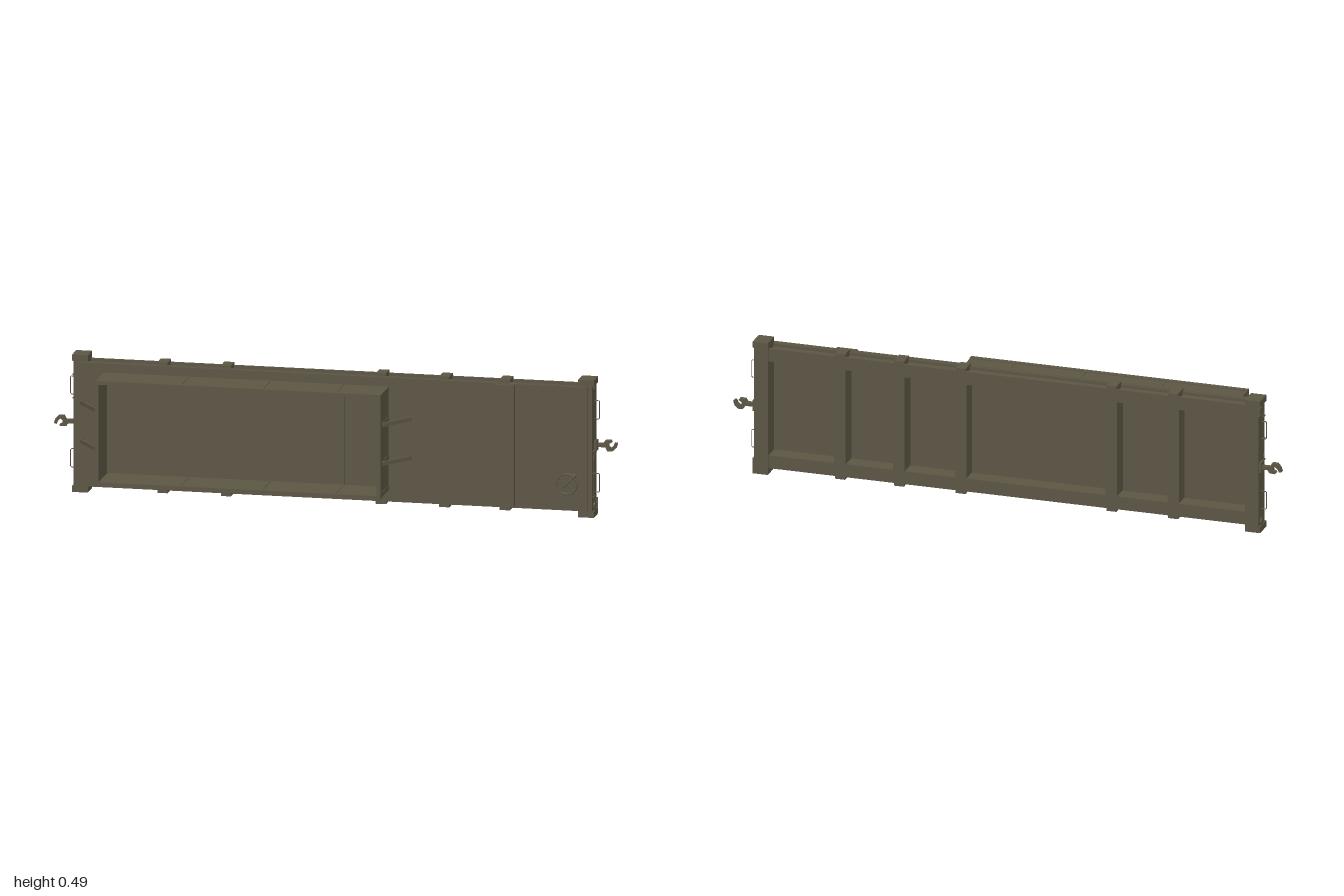
import * as THREE from 'three';

export function createModel() {
  const root = new THREE.Group();
  root.name = 'flatWagonBody';
  const paint = new THREE.MeshStandardMaterial({ color: 0x5c5644 });
  paint.name = 'olive drab';

  const add = (name, geo, parent = root) => {
    const m = new THREE.Mesh(geo, paint);
    m.name = name;
    parent.add(m);
    return m;
  };
  // box given by its limits on each axis
  const block = (name, x0, x1, y0, y1, z0, z1, parent = root) => {
    const g = new THREE.BoxGeometry(x1 - x0, y1 - y0, z1 - z0);
    g.translate((x0 + x1) / 2, (y0 + y1) / 2, (z0 + z1) / 2);
    return add(name, g, parent);
  };
  // straight or bent round bar through points
  const bar = (name, pts, r, parent = root) => {
    const path = new THREE.CurvePath();
    const v = pts.map(p => new THREE.Vector3(...p));
    for (let i = 1; i < v.length; i++) path.add(new THREE.LineCurve3(v[i - 1], v[i]));
    return add(name, new THREE.TubeGeometry(path, (v.length - 1) * 6, r, 8), parent);
  };
  // rectangular frame open along z
  const frame = (name, x0, x1, y0, y1, t, z0, z1) => {
    const rect = (C, a, b, c, d) => {
      const s = new C();
      s.moveTo(a, c); s.lineTo(b, c); s.lineTo(b, d); s.lineTo(a, d); s.closePath();
      return s;
    };
    const s = rect(THREE.Shape, x0, x1, y0, y1);
    s.holes.push(rect(THREE.Path, x0 + t, x1 - t, y0 + t, y1 - t));
    const g = new THREE.ExtrudeGeometry(s, { depth: z1 - z0, bevelEnabled: false });
    g.translate(0, 0, z0);
    return add(name, g);
  };

  const W = 0.49;                              // full width across the end beams
  const stations = [-0.605, -0.38, 0.17, 0.395, 0.61];

  // deck with a raised cross plate
  block('deck', -0.905, 0.905, 0.028, 0.468, -0.041, -0.029);
  block('deckCrossPlate', 0.575, 0.65, 0.034, 0.466, -0.03, -0.013);

  // channel-shaped side sills with stake pockets
  for (const top of [false, true]) {
    const side = (name, x0, x1, y0, y1, z0, z1) =>
      top ? block(name, x0, x1, W - y1, W - y0, z0, z1) : block(name, x0, x1, y0, y1, z0, z1);
    side('sillWeb', -0.875, 0.875, 0.034, 0.07, -0.105, -0.045);
    side('sillUpperFlange', -0.875, 0.875, 0.022, 0.036, -0.053, -0.045);
    side('sillLowerFlange', -0.875, 0.875, 0.022, 0.036, -0.105, -0.097);
    for (const x of stations) side('stakePocket', x - 0.018, x + 0.018, 0.012, 0.036, -0.105, -0.045);
  }

  // cross beams under the deck
  for (const x of stations) block('crossBeam', x - 0.021, x + 0.021, 0.068, W - 0.068, -0.105, -0.041);

  // open-topped load box
  const bx0 = -0.808, bx1 = 0.2, by0 = 0.068, by1 = 0.436;
  frame('boxWalls', bx0, bx1, by0, by1, 0.01, -0.03, 0.098);
  frame('boxRim', bx0 - 0.003, bx1 + 0.003, by0 - 0.003, by1 + 0.003, 0.013, 0.097, 0.115);
  for (const y of [0.076, 0.186, 0.323, 0.428]) {
    block('boxEndRib', bx1, bx1 + 0.002, y - 0.008, y + 0.008, -0.03, 0.098);
    block('boxEndRib', bx0 - 0.002, bx0, y - 0.008, y + 0.008, -0.03, 0.098);
  }
  for (const x of [-0.51, -0.22, 0.04]) {
    block('boxSideRib', x - 0.004, x + 0.004, by0 - 0.002, by0 + 0.012, -0.03, 0.098);
    block('boxSideRib', x - 0.004, x + 0.004, by1 - 0.012, by1 + 0.002, -0.03, 0.098);
    block('boxFloorSeam', x - 0.004, x + 0.004, by0, by1, -0.03, -0.027);
  }

  // slanted braces at both ends of the box
  for (const y of [0.187, 0.325]) {
    for (const [xa, xb] of [[bx1, 0.283], [bx0, -0.891]]) {
      const dx = xb - xa, dz = -0.115;
      const g = new THREE.BoxGeometry(Math.hypot(dx, dz), 0.014, 0.008);
      g.rotateY(-Math.atan2(dz, dx));
      g.translate((xa + xb) / 2, y, 0.085 + dz / 2);
      add('boxBrace', g);
      block('braceFoot', xb - 0.012, xb + 0.012, y - 0.01, y + 0.01, -0.03, -0.026);
    }
  }

  // hand brake: column, collar, wheel and spokes
  const brake = new THREE.Group();
  brake.name = 'handBrake';
  brake.position.set(0.86, 0.15, 0);
  root.add(brake);
  bar('brakeColumn', [[0, 0, -0.03], [0, 0, 0.096]], 0.003, brake);
  const collar = new THREE.CylinderGeometry(0.004, 0.009, 0.014, 12);
  collar.rotateX(Math.PI / 2);
  collar.translate(0, 0, -0.022);
  add('brakeCollar', collar, brake);
  const rim = add('brakeWheel', new THREE.TorusGeometry(0.036, 0.003, 8, 28), brake);
  rim.position.z = 0.096;
  for (const a of [Math.PI / 4, -Math.PI / 4]) {
    const c = 0.036 * Math.cos(a), s = 0.036 * Math.sin(a);
    bar('brakeSpoke', [[-c, -s, 0.096], [c, s, 0.096]], 0.002, brake);
  }

  // hook outline, in the plane facing z
  const hookShape = new THREE.Shape();
  [[0, -0.006], [0.026, -0.006], [0.034, -0.02], [0.052, -0.02], [0.064, -0.008], [0.069, 0.008],
    [0.06, 0.01], [0.056, 0], [0.046, -0.009], [0.038, -0.004], [0.038, 0.006], [0.05, 0.012],
    [0.046, 0.018], [0.026, 0.017], [0.018, 0.006], [0, 0.006]]
    .forEach(([x, y], i) => (i ? hookShape.lineTo(x, y) : hookShape.moveTo(x, y)));

  // both end assemblies, the second turned half a circle
  for (const flip of [false, true]) {
    const end = new THREE.Group();
    end.name = flip ? 'rightEnd' : 'leftEnd';
    if (flip) {
      end.rotation.z = Math.PI;
      end.position.y = W;
    }
    root.add(end);
    block('endBeam', 0.87, 0.92, 0, W, -0.115, -0.045, end);
    for (const y of [0, W - 0.022]) block('beamCorner', 0.872, 0.926, y, y + 0.022, -0.115, -0.045, end);
    // round buffer seats
    for (const y of [0.035, 0.457]) {
      const g = new THREE.CylinderGeometry(0.015, 0.015, 0.008, 24);
      g.rotateZ(Math.PI / 2);
      g.translate(0.92, y, -0.082);
      add('bufferSeat', g, end);
    }
    // grab handles
    for (const y of [0.085, 0.345])
      bar('grabHandle', [[0.918, y, -0.083], [0.939, y, -0.083], [0.939, y + 0.065, -0.083], [0.918, y + 0.065, -0.083]], 0.0017, end);
    // draw hook and its plate
    block('hookPlate', 0.915, 0.929, 0.23, 0.268, -0.108, -0.08, end);
    const hook = new THREE.ExtrudeGeometry(hookShape, { depth: 0.018, bevelEnabled: false });
    hook.translate(0.931, 0.25, -0.105);
    add('drawHook', hook, end);
    block('hookShank', 0.92, 0.958, 0.243, 0.257, -0.103, -0.089, end);
    // uncoupling rod and lever
    bar('uncouplingRod', [[0.923, 0.24, -0.065], [0.923, 0.22, -0.065], [0.923, 0.208, -0.059],
      [0.923, 0.07, -0.059], [0.923, 0.058, -0.064], [0.923, 0.058, -0.113]], 0.0015, end);
    for (const y of [0.073, 0.156, 0.235]) block('rodClip', 0.918, 0.926, y - 0.002, y + 0.002, -0.068, -0.054, end);
    block('rodLever', 0.918, 0.926, 0.018, 0.058, -0.115, -0.111, end);
  }

  return root;
}
